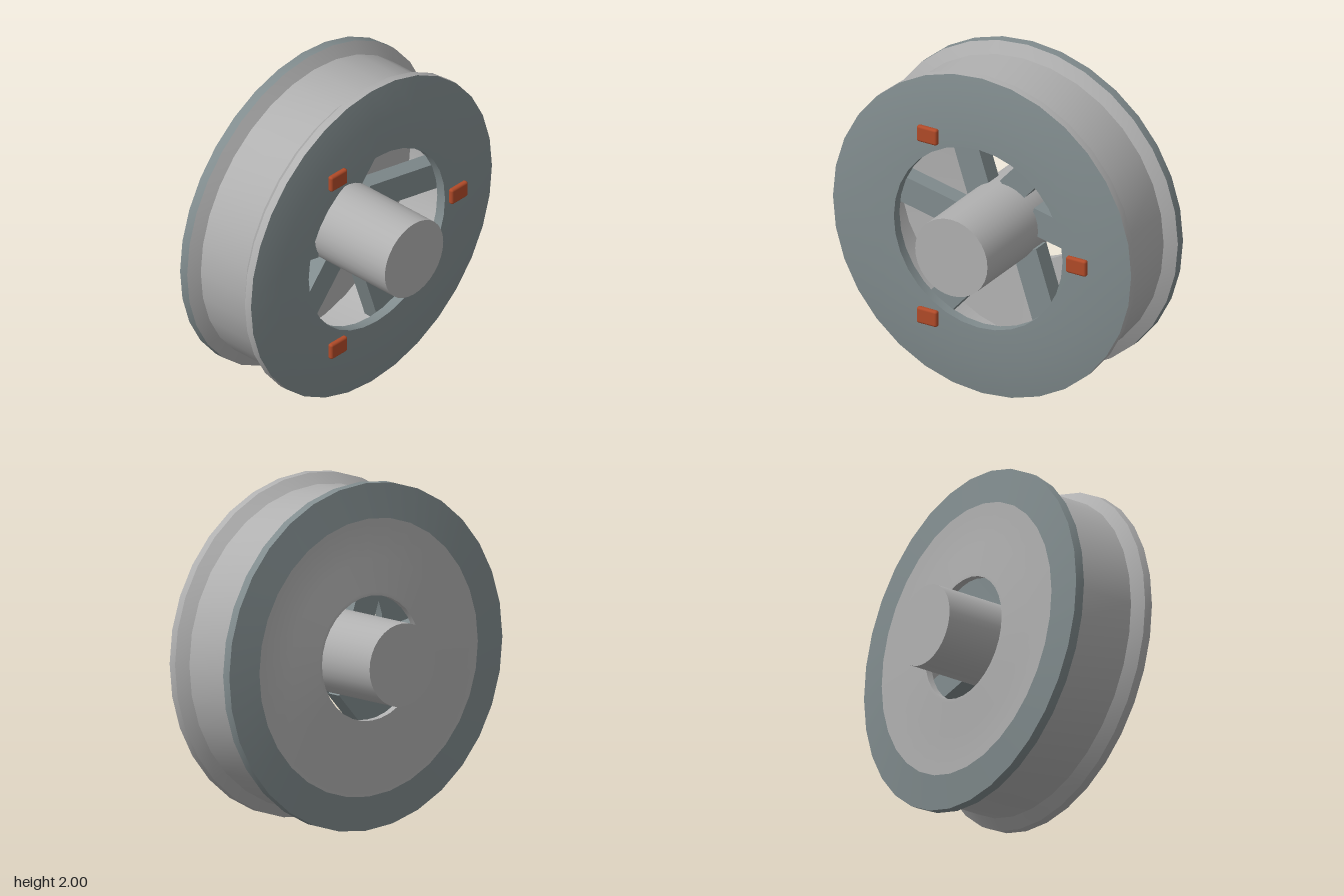
import * as THREE from 'three';
import { toCreasedNormals } from 'three/addons/utils/BufferGeometryUtils.js';
import { RoundedBoxGeometry } from 'three/addons/geometries/RoundedBoxGeometry.js';

export function createModel() {
  const mat = (name, color) => {
    const m = new THREE.MeshStandardMaterial({ color });
    m.name = name;
    return m;
  };
  const steel = mat('lightSteel', 0xb0b0b0);
  const slate = mat('slateGrey', 0x818c8e);
  const rust = mat('rustOrange', 0xb04a28);

  const wheel = new THREE.Group();
  wheel.name = 'wheel';
  wheel.position.y = 1;

  const add = (name, geometry, material) => {
    const mesh = new THREE.Mesh(geometry, material);
    mesh.name = name;
    wheel.add(mesh);
    return mesh;
  };
  // Profile of [radius, z] pairs turned around the z axis
  const turn = (name, profile, material) => {
    const points = profile.map(([r, z]) => new THREE.Vector2(r, z));
    const geo = new THREE.LatheGeometry(points, 32).rotateX(Math.PI / 2);
    return add(name, toCreasedNormals(geo, 0.35), material);
  };

  // Drum with flared edges, and its inner wall
  turn('drum', [[1, -0.22], [0.93, -0.18], [0.93, 0.165], [0.99, 0.22], [0.99, 0.268]], steel);
  turn('drumInside', [[0.87, 0.25], [0.87, -0.25]], steel);

  // Front ring with a wide opening
  turn('frontRing', [[0.99, 0.268], [0.79, 0.305], [0.56, 0.31], [0.56, 0.25], [0.87, 0.25]], slate);

  // Back rim and the dished back plate
  turn('backRim', [[0.8, -0.3], [1, -0.275], [1, -0.22]], slate);
  turn('backPlate', [[0.87, -0.25], [0.36, -0.28], [0.36, -0.322], [0.38, -0.322], [0.57, -0.3], [0.8, -0.3]], steel);

  // Axle through the middle
  turn('axle', [[0, -0.6], [0.24, -0.6], [0.24, 0.6], [0, 0.6]], steel);

  // Six spokes set off-centre, tangent to the axle
  const spokeGeo = new THREE.BoxGeometry(0.71, 0.165, 0.11).translate(0.535, 0.097, 0);
  for (let i = 0; i < 6; i++) {
    add('spoke', spokeGeo, slate).rotation.z = -0.204 + (i * Math.PI) / 3;
  }

  // Three upright blocks on the front ring
  const blockGeo = new RoundedBoxGeometry(0.135, 0.1, 0.035, 2, 0.014);
  for (let i = 0; i < 3; i++) {
    const a = (i * Math.PI * 2) / 3;
    add('frontBlock', blockGeo, rust).position.set(0.66 * Math.cos(a), 0.66 * Math.sin(a), 0.318);
  }

  const model = new THREE.Group();
  model.name = 'flangedWheel';
  model.add(wheel);
  return model;
}
